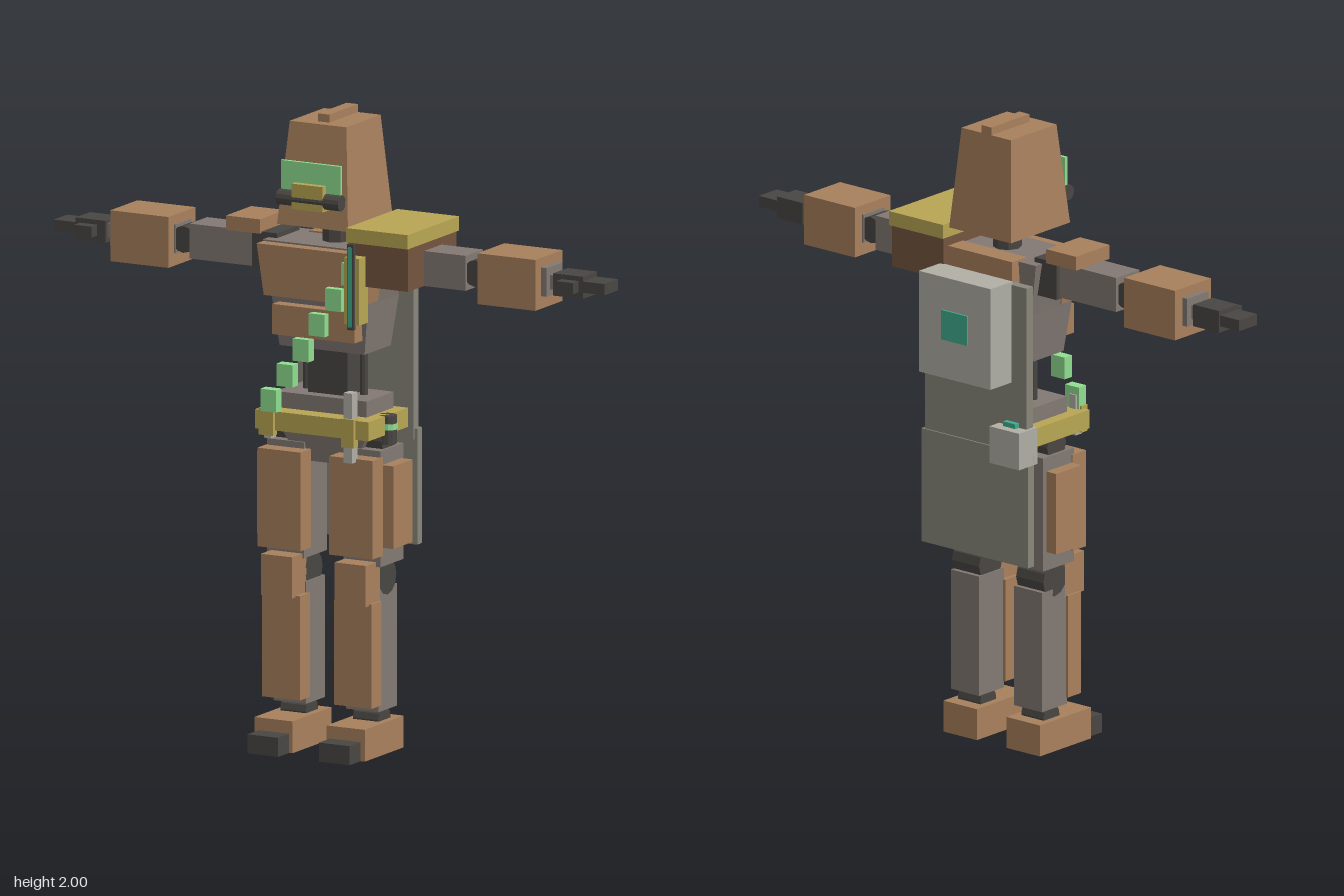
import * as THREE from 'three';

const COLORS = {
  brown: 0xa8805c, darkBrown: 0x74553f, grey: 0x827973, dark: 0x494642, yellow: 0xb8a653,
  green: 0x90de90, cloak: 0x8a877b, pack: 0xb0aea5, teal: 0x3fae8e,
};
const mats = {};
const mat = (c) => (mats[c] ??= new THREE.MeshStandardMaterial({ color: COLORS[c], flatShading: true }));

export function createModel() {
  const model = new THREE.Group();

  const add = (name, geo, color, parent = model) => {
    const mesh = new THREE.Mesh(geo, mat(color));
    mesh.name = name;
    parent.add(mesh);
    return mesh;
  };
  // Box given by its ranges along x, y and z
  const box = (name, color, [x0, x1], [y0, y1], [z0, z1], parent = model) => {
    const geo = new THREE.BoxGeometry(x1 - x0, y1 - y0, z1 - z0);
    geo.translate((x0 + x1) / 2, (y0 + y1) / 2, (z0 + z1) / 2);
    return add(name, geo, color, parent);
  };
  // Box whose bottom and top rectangles differ: each is [x0, x1, z0, z1]
  const taper = (name, color, [y0, y1], bottom, top, parent = model) => {
    const geo = new THREE.BoxGeometry(1, 1, 1);
    const p = geo.attributes.position;
    for (let i = 0; i < p.count; i++) {
      const r = p.getY(i) > 0 ? top : bottom;
      p.setXYZ(i, r[p.getX(i) > 0 ? 1 : 0], p.getY(i) > 0 ? y1 : y0, r[p.getZ(i) > 0 ? 3 : 2]);
    }
    geo.computeVertexNormals();
    return add(name, geo, color, parent);
  };
  // Cylinder lying along one axis
  const rod = (name, color, axis, radius, length, pos, parent = model, sides = 12) => {
    const geo = new THREE.CylinderGeometry(radius, radius, length, sides);
    if (axis === 'x') geo.rotateZ(Math.PI / 2);
    if (axis === 'z') geo.rotateX(Math.PI / 2);
    return add(name, geo.translate(...pos), color, parent);
  };

  // Head
  taper('head', 'brown', [1.655, 1.975], [-0.125, 0.125, -0.12, 0.16], [-0.1, 0.1, -0.09, 0.125]);
  box('headCrest', 'brown', [-0.02, 0.02], [1.97, 2], [-0.09, 0.09]);
  box('visor', 'green', [-0.105, 0.105], [1.77, 1.86], [0.16, 0.172]);
  box('noseGuard', 'yellow', [-0.055, 0.055], [1.715, 1.795], [0.135, 0.195]);
  rod('eyeBar', 'dark', 'x', 0.025, 0.22, [0, 1.745, 0.172]);
  rod('neck', 'dark', 'y', 0.045, 0.12, [0, 1.61, 0.01], model, 8);

  // Torso
  taper('upperTorso', 'grey', [1.42, 1.59], [-0.17, 0.17, -0.075, 0.115], [-0.2, 0.2, -0.09, 0.115]);
  taper('lowerTorso', 'grey', [1.26, 1.42], [-0.15, 0.15, -0.065, 0.1], [-0.17, 0.17, -0.08, 0.115]);
  taper('chestPlate', 'brown', [1.425, 1.585], [-0.175, 0.175, 0.06, 0.155], [-0.2, 0.2, 0.06, 0.155]);
  box('backCollar', 'brown', [-0.13, 0.13], [1.5, 1.595], [-0.12, -0.05]);
  box('bellyPlate', 'brown', [-0.145, 0.145], [1.305, 1.4], [0.08, 0.155]);
  box('waist', 'dark', [-0.07, 0.07], [1.1, 1.27], [-0.035, 0.065]);
  for (const s of [-1, 1]) rod('waistPiston', 'dark', 'y', 0.013, 0.17, [s * 0.1, 1.185, 0.015], model, 8);

  // Pelvis and belt
  box('pelvis', 'grey', [-0.16, 0.16], [1.04, 1.115], [-0.065, 0.105]);
  taper('crotch', 'grey', [0.9, 1.04], [-0.1, 0.1, -0.05, 0.07], [-0.17, 0.17, -0.065, 0.1]);
  box('belt', 'yellow', [-0.2, 0.2], [1.005, 1.065], [-0.085, 0.165]);
  box('beltStrapLeft', 'pack', [0.115, 0.145], [0.93, 1.15], [0.135, 0.17]);
  box('beltStrapRight', 'pack', [-0.165, -0.14], [0.98, 1.11], [0.14, 0.17]);
  box('beltPouchLeft', 'yellow', [0.11, 0.155], [0.98, 1.07], [0.15, 0.178]);
  box('beltPouchRight', 'yellow', [-0.18, -0.13], [0.99, 1.075], [0.15, 0.178]);
  rod('hipFlask', 'dark', 'y', 0.028, 0.09, [0.195, 1.02, 0.035]);
  rod('hipFlaskBand', 'green', 'y', 0.031, 0.018, [0.195, 1.03, 0.035]);

  // Bandolier of pouches rising to the left shoulder
  for (let i = 0; i < 6; i++) {
    const x = -0.145 + i * 0.057, y = 1.1 + i * 0.085;
    box('bandolierPouch', 'green', [x - 0.028, x + 0.028], [y - 0.035, y + 0.035], [0.145, 0.18]);
  }

  // Chest knife
  box('knifeSheath', 'yellow', [0.137, 0.19], [1.375, 1.585], [0.15, 0.205]);
  box('knife', 'dark', [0.152, 0.175], [1.36, 1.63], [0.2, 0.215]);
  box('knifeInlay', 'teal', [0.158, 0.169], [1.37, 1.62], [0.212, 0.22]);

  // Shoulder armour, heavier on the left
  box('leftShoulderBlock', 'darkBrown', [0.13, 0.34], [1.49, 1.625], [-0.14, 0.165]);
  box('leftShoulderPlate', 'yellow', [0.125, 0.343], [1.625, 1.67], [-0.15, 0.173]);
  box('rightShoulderPad', 'brown', [-0.345, -0.225], [1.6, 1.645], [-0.07, 0.09]);

  // Arms and legs, mirrored by x ranges
  for (const s of [1, -1]) {
    const side = s > 0 ? 'left' : 'right';
    const arm = new THREE.Group(), leg = new THREE.Group();
    arm.name = side + 'Arm';
    leg.name = side + 'Leg';
    model.add(arm, leg);
    const span = (a, b) => (s > 0 ? [a, b] : [-b, -a]);
    const part = (group, name, color, a, b, y, z) => box(name, color, span(a, b), y, z, group);

    part(arm, 'shoulderJoint', 'dark', 0.17, 0.258, [1.485, 1.605], [-0.06, 0.08]);
    part(arm, 'upperArm', 'grey', 0.2, 0.487, [1.49, 1.6], [-0.045, 0.065]);
    rod('elbow', 'dark', 'z', 0.042, 0.09, [s * 0.515, 1.545, 0.01], arm);
    part(arm, 'forearm', 'grey', 0.54, 0.77, [1.5, 1.59], [-0.04, 0.06]);
    part(arm, 'forearmGuard', 'brown', 0.545, 0.75, [1.46, 1.62], [-0.075, 0.095]);
    part(arm, 'wrist', 'grey', 0.77, 0.795, [1.52, 1.565], [-0.02, 0.04]);
    part(arm, 'palm', 'dark', 0.79, 0.895, [1.505, 1.575], [-0.035, 0.055]);
    part(arm, 'fingers', 'dark', 0.895, 0.972, [1.525, 1.56], [-0.03, 0.055]);
    part(arm, 'thumb', 'dark', 0.82, 0.88, [1.525, 1.56], [0.055, 0.09]);

    rod('hipJoint', 'dark', 'x', 0.045, 0.1, [s * 0.14, 0.985, 0.02], leg);
    part(leg, 'thigh', 'grey', 0.07, 0.2, [0.595, 0.96], [-0.055, 0.09]);
    part(leg, 'thighFrontPlate', 'brown', 0.05, 0.203, [0.63, 0.94], [0.08, 0.145]);
    part(leg, 'thighSidePlate', 'brown', 0.195, 0.24, [0.655, 0.915], [-0.04, 0.08]);
    rod('knee', 'dark', 'x', 0.055, 0.11, [s * 0.13, 0.55, 0.018], leg);
    part(leg, 'kneePlate', 'brown', 0.075, 0.185, [0.48, 0.61], [0.065, 0.155]);
    part(leg, 'shin', 'grey', 0.07, 0.185, [0.135, 0.52], [-0.042, 0.075]);
    part(leg, 'shinPlate', 'brown', 0.06, 0.193, [0.157, 0.485], [0.07, 0.133]);
    rod('ankle', 'dark', 'x', 0.038, 0.09, [s * 0.128, 0.105, 0.016], leg);
    part(leg, 'foot', 'brown', 0.06, 0.195, [0, 0.1], [-0.065, 0.178]);
    part(leg, 'toe', 'dark', 0.072, 0.18, [0, 0.06], [0.178, 0.247]);
  }

  // Cloak and gear on the back
  box('upperCloak', 'cloak', [-0.205, 0.205], [0.96, 1.53], [-0.14, -0.11]);
  box('lowerCloak', 'cloak', [-0.215, 0.215], [0.63, 0.995], [-0.145, -0.115]);
  box('backpack', 'pack', [-0.145, 0.145], [1.215, 1.54], [-0.24, -0.135]);
  box('backpackPanel', 'teal', [-0.055, 0.05], [1.34, 1.435], [-0.246, -0.235]);
  box('backPouch', 'pack', [-0.215, -0.095], [0.957, 1.075], [-0.187, -0.1]);
  box('backPouchLight', 'teal', [-0.175, -0.125], [1.07, 1.09], [-0.158, -0.14]);

  return model;
}
